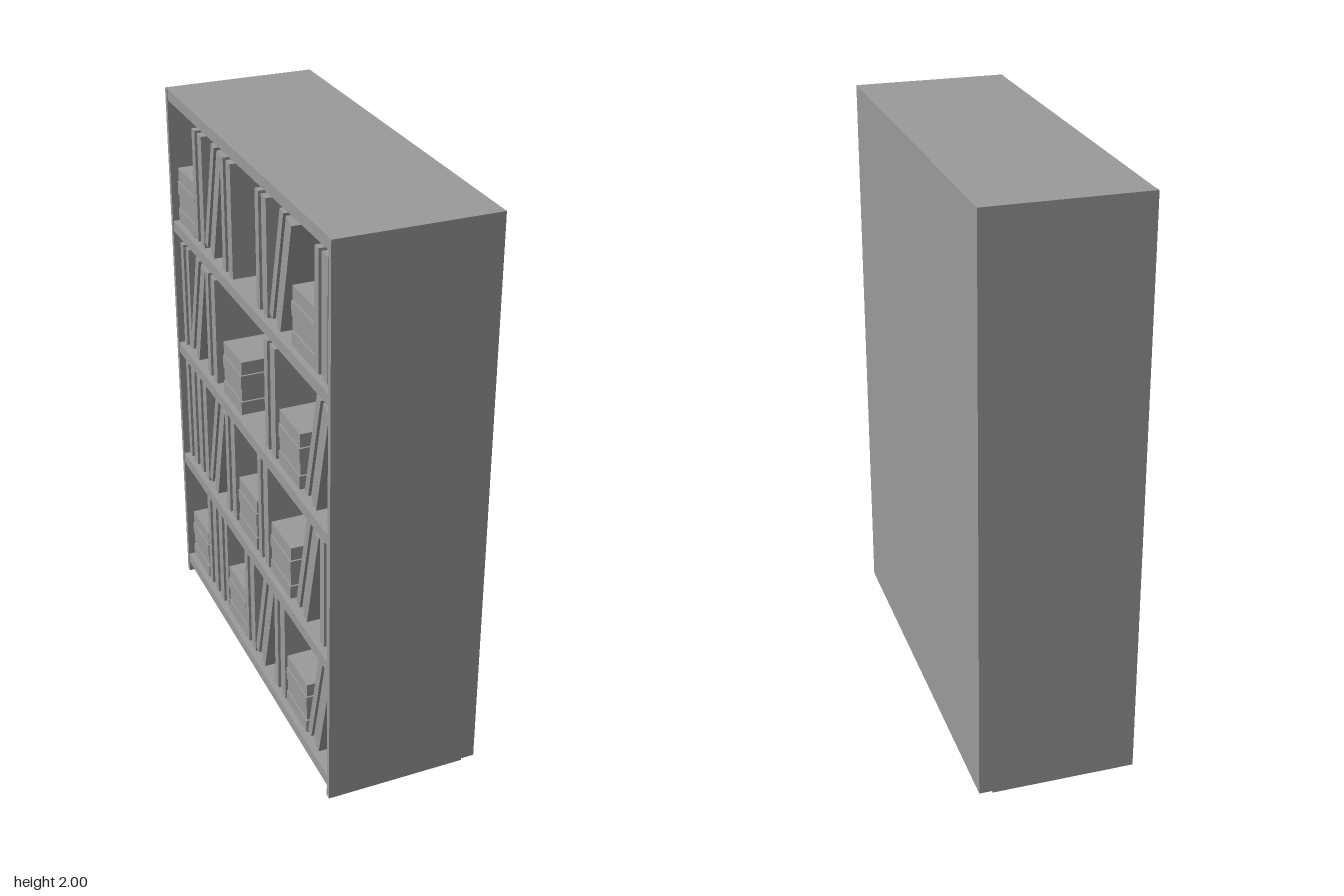
import * as THREE from 'three';

const material = new THREE.MeshStandardMaterial({ color: 0x9b9b9b, flatShading: true });

// Case dimensions; the open side faces -x
const FRONT = -0.27, BACK = 0.268, HALF = 0.728;
const PANEL = 0.019, BOARD = 0.04, BACK_IN = 0.222;
const SHELF_TOPS = [0.08, 0.55, 1.03, 1.515];
const BOOK_FRONT = -0.247, BOOK_DEPTH = 0.28, THICK = 0.033, TALL = 0.4, TILT = 0.25;

// Box given by its minimum and maximum corners
function box(parent, name, x0, x1, y0, y1, z0, z1) {
  const mesh = new THREE.Mesh(new THREE.BoxGeometry(x1 - x0, y1 - y0, z1 - z0), material);
  mesh.position.set((x0 + x1) / 2, (y0 + y1) / 2, (z0 + z1) / 2);
  mesh.name = name;
  parent.add(mesh);
}

// Row of upright books from the local origin along +z, with staggered spines
function uprightBooks(count) {
  const group = new THREE.Group();
  group.name = 'uprightBooks';
  for (let i = 0; i < count; i++) {
    const odd = i % 2;
    box(group, 'book', BOOK_FRONT + 0.008 * odd, BOOK_FRONT + BOOK_DEPTH, 0, TALL - 0.008 * odd,
      i * THICK, (i + 1) * THICK - 0.003);
  }
  return group;
}

// Books tipped towards +z, standing on their lower edge
function leaningBooks(count) {
  const group = new THREE.Group(), tipped = new THREE.Group();
  group.name = 'leaningBooks';
  tipped.name = 'tippedRow';
  const books = uprightBooks(count);
  books.position.z = -count * THICK;
  tipped.add(books);
  tipped.rotation.x = TILT;
  tipped.position.z = count * THICK * Math.cos(TILT);
  group.add(tipped);
  return group;
}

// Pile of books lying flat
function bookStack(count) {
  const group = new THREE.Group();
  group.name = 'bookStack';
  for (let i = 0; i < count; i++) {
    const inset = 0.004 * (i % 2);
    box(group, 'flatBook', BOOK_FRONT + inset, BOOK_FRONT + BOOK_DEPTH, i * 0.05, (i + 1) * 0.05 - 0.002, 0, 0.18 - inset);
  }
  return group;
}

const makers = { upright: uprightBooks, leaning: leaningBooks, stack: bookStack };

// Contents of each shelf, lowest first: kind, distance from the -z side, count
const CONTENTS = [
  [['stack', 0.022, 4], ['upright', 0.215, 6], ['stack', 0.437, 4], ['upright', 0.62, 3],
    ['leaning', 0.72, 3], ['upright', 0.915, 3], ['stack', 1.025, 4], ['leaning', 1.22, 3]],
  [['upright', 0.022, 7], ['leaning', 0.257, 3], ['upright', 0.453, 3], ['stack', 0.575, 4],
    ['upright', 0.775, 3], ['stack', 0.89, 4], ['leaning', 1.12, 3], ['upright', 1.325, 3]],
  [['upright', 0.022, 2], ['leaning', 0.095, 3], ['upright', 0.29, 3], ['stack', 0.453, 4],
    ['upright', 0.858, 3], ['stack', 0.978, 4], ['leaning', 1.2, 3]],
  [['stack', 0.022, 4], ['upright', 0.203, 3], ['leaning', 0.303, 3], ['upright', 0.485, 3],
    ['upright', 0.803, 3], ['leaning', 0.915, 3], ['stack', 1.1, 4], ['upright', 1.283, 3]],
];

export function createModel() {
  const model = new THREE.Group();
  model.name = 'bookcase';

  // Case: two sides reaching the floor, a back panel and a top
  const inner = HALF - PANEL;
  box(model, 'rightSidePanel', FRONT, BACK_IN, 0, 2, -HALF, -inner);
  box(model, 'leftSidePanel', FRONT, BACK_IN, 0, 2, inner, HALF);
  box(model, 'backPanel', BACK_IN, BACK, 0.007, 2, -HALF, HALF);
  box(model, 'topBoard', FRONT + 0.002, BACK_IN, 2 - BOARD, 2, -inner, inner);

  // Shelves and the books on them
  SHELF_TOPS.forEach((top, i) => {
    box(model, 'shelf', FRONT + 0.002, BACK_IN, top - BOARD, top, -inner, inner);
    for (const [kind, start, count] of CONTENTS[i]) {
      const books = makers[kind](count);
      books.position.set(0, top, start - HALF);
      model.add(books);
    }
  });
  return model;
}
